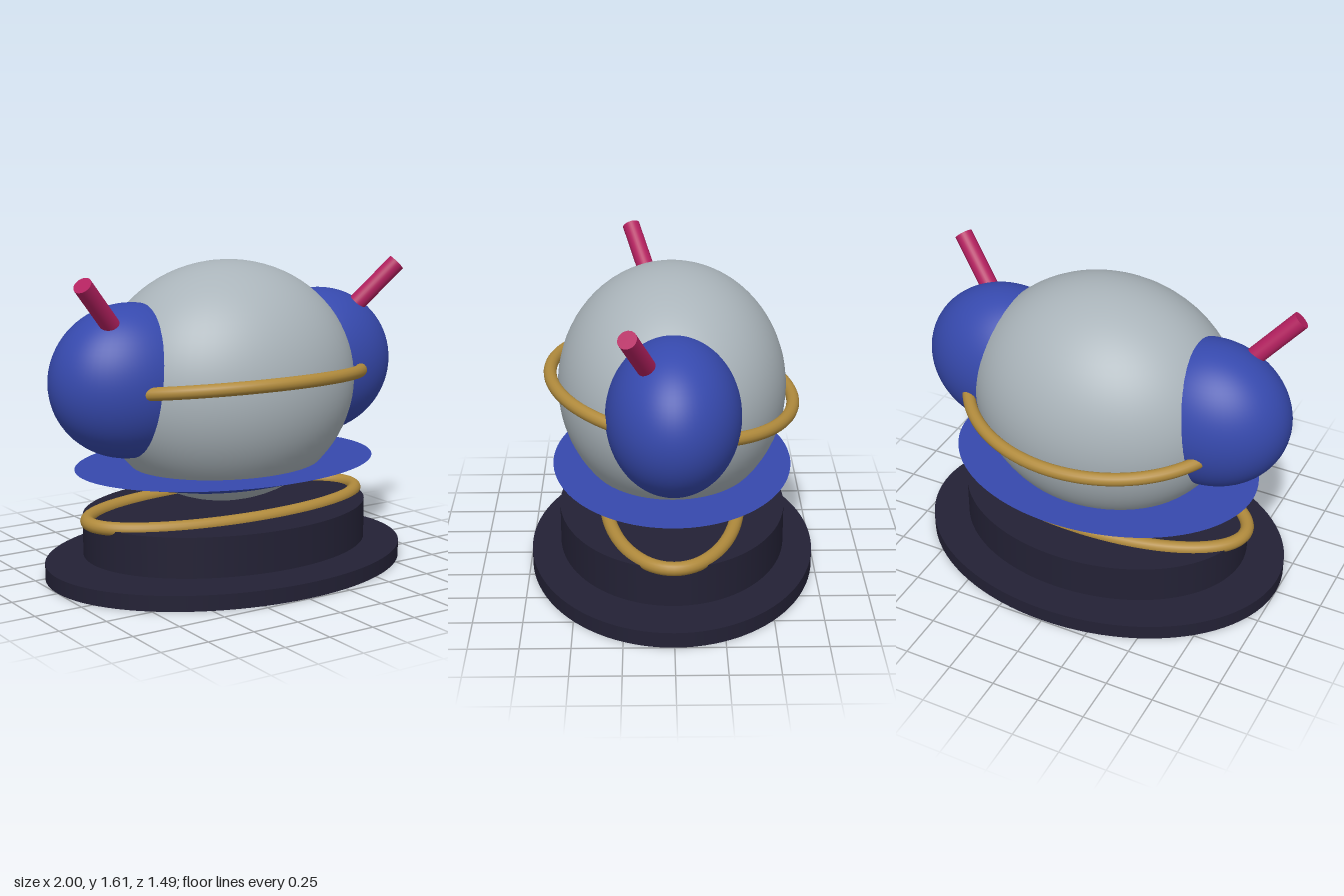
import * as THREE from 'three';

const paint = (name, color) => {
  const m = new THREE.MeshStandardMaterial({ color });
  m.name = name;
  return m;
};

export function createModel() {
  const grey = paint('paleGrey', 0xaab4ba);
  const blue = paint('blue', 0x3649ad);
  const gold = paint('gold', 0xb08a3c);
  const crimson = paint('crimson', 0xb3205f);
  const dark = paint('darkSlate', 0x232135);

  const model = new THREE.Group();
  model.name = 'model';

  const add = (name, geometry, material, x = 0, y = 0, z = 0) => {
    const mesh = new THREE.Mesh(geometry, material);
    mesh.name = name;
    mesh.position.set(x, y, z);
    model.add(mesh);
    return mesh;
  };
  const ellipsoid = (rx, ry, rz) => new THREE.SphereGeometry(1, 64, 40).scale(rx, ry, rz);
  // Elliptical drum or, with bottom = 0, a cone hanging point down
  const drum = (rx, rz, height, bottom = 1) =>
    new THREE.CylinderGeometry(1, bottom, height, 96).scale(rx, 1, rz);
  // Round tube following a horizontal ellipse
  const hoop = (rx, rz, tube) => {
    const points = [];
    for (let i = 0; i < 48; i++) {
      const a = (i / 48) * Math.PI * 2;
      points.push(new THREE.Vector3(rx * Math.cos(a), 0, rz * Math.sin(a)));
    }
    return new THREE.TubeGeometry(new THREE.CatmullRomCurve3(points, true), 144, tube, 16, true);
  };

  // Stand
  add('basePlate', drum(1, 0.745, 0.08), dark, 0, 0.04);
  add('plinth', drum(0.793, 0.592, 0.208), dark, 0, 0.216);
  add('plinthRing', hoop(0.807, 0.348, 0.035), gold, 0, 0.325);

  // Body with its shallow collar
  add('body', ellipsoid(0.703, 0.625, 0.587), grey, 0, 0.98);
  add('collar', drum(0.833, 0.622, 0.195, 0), blue, 0, 0.46);

  // Sash tilted up towards the front
  add('sash', hoop(0.735, 0.63, 0.033), gold, 0, 0.98).rotation.x = -0.13;

  // Side pods, each with a leaning rod
  for (const [side, s] of [['left', 1], ['right', -1]]) {
    add(side + 'Pod', ellipsoid(0.425, 0.39, 0.33), blue, s * 0.575, 1.035);
    const foot = new THREE.Vector3(s * 0.715, 1.305, 0.11);
    const tip = new THREE.Vector3(s * 0.944, 1.556, 0.214);
    const axis = tip.clone().sub(foot);
    const rod = add(side + 'Rod', new THREE.CylinderGeometry(0.047, 0.047, axis.length(), 32), crimson);
    rod.position.copy(foot).addScaledVector(axis, 0.5);
    rod.quaternion.setFromUnitVectors(new THREE.Vector3(0, 1, 0), axis.normalize());
  }

  return model;
}
